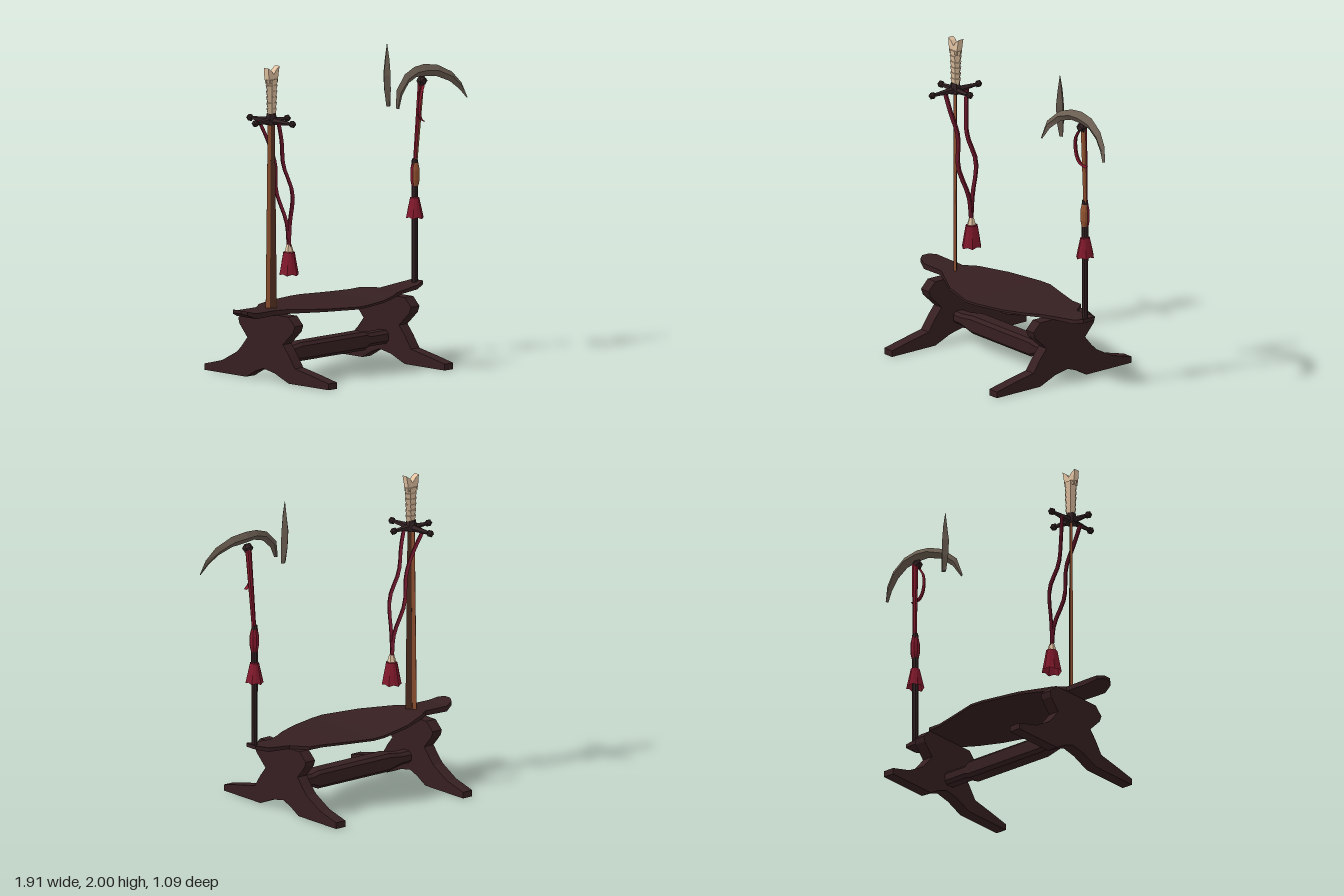
import * as THREE from 'three';

const mat = (name, color, side = THREE.FrontSide) => {
  const m = new THREE.MeshStandardMaterial({ color, side });
  m.name = name;
  return m;
};

// Flat facets: unshared vertices with one normal per face
function facet(geo) {
  const g = geo.index ? geo.toNonIndexed() : geo;
  g.computeVertexNormals();
  return g;
}

// Skin a list of equal-sized rings of [x, y, z], closing both ends
function loft(rings) {
  const n = rings[0].length, idx = [], last = (rings.length - 1) * n;
  for (let i = 0; i < rings.length - 1; i++) {
    for (let j = 0; j < n; j++) {
      const a = i * n + j, b = i * n + (j + 1) % n;
      idx.push(a, b, b + n, a, b + n, a + n);
    }
  }
  for (let j = 1; j < n - 1; j++) {
    idx.push(0, j + 1, j, last, last + j, last + j + 1);
  }
  const g = new THREE.BufferGeometry();
  g.setAttribute('position', new THREE.Float32BufferAttribute(rings.flat(2), 3));
  g.setIndex(idx);
  return facet(g);
}

// Extruded outline, centred on its depth
function plate(points, depth) {
  const shape = new THREE.Shape(points.map(([x, y]) => new THREE.Vector2(x, y)));
  return new THREE.ExtrudeGeometry(shape, { depth, bevelEnabled: false }).translate(0, 0, -depth / 2);
}

export function createModel() {
  const wood = mat('dark wood', 0x361f21);
  const iron = mat('dark iron', 0x322123);
  const steel = mat('weathered steel', 0x6a5d51);
  const bone = mat('bone', 0xe2c3a2);
  const red = mat('red cloth', 0x82192c, THREE.DoubleSide);
  const cord = mat('dark red cord', 0x6c172a, THREE.DoubleSide);
  const amber = mat('amber wood', 0x955432);
  const brown = mat('brown blade', 0x4c2b20);

  const model = new THREE.Group();
  const add = (name, geo, material, parent = model) => {
    const m = new THREE.Mesh(geo, material);
    m.name = name;
    parent.add(m);
    return m;
  };
  const group = (name, x = 0, y = 0, z = 0) => {
    const g = new THREE.Group();
    g.name = name;
    g.position.set(x, y, z);
    model.add(g);
    return g;
  };

  // Trestle legs: splayed feet, narrow waist, wide head
  const legOutline = [
    [0.54, 0], [0.54, 0.04], [0.4, 0.07], [0.245, 0.1], [0.19, 0.18], [0.14, 0.24],
    [0.23, 0.325], [0.245, 0.365], [0.19, 0.42], [-0.19, 0.42], [-0.25, 0.365], [-0.24, 0.33],
    [-0.17, 0.25], [-0.22, 0.19], [-0.26, 0.15], [-0.39, 0.08], [-0.545, 0.04], [-0.545, 0],
    [-0.18, 0], [-0.1, 0.045], [-0.03, 0.07], [0.07, 0.05], [0.19, 0],
  ].map(([z, y]) => [-z, y]);
  for (const [name, x] of [['rightLeg', -0.662], ['leftLeg', 0.368]]) {
    const leg = add(name, plate(legOutline, 0.075), wood);
    leg.rotation.y = Math.PI / 2;
    leg.position.x = x;
  }

  // Stretcher: chamfered beam, thicker in the middle
  const beam = (x, h, d) => {
    const c = 0.02;
    return [[h - c, d], [c - h, d], [-h, d - c], [-h, c - d], [c - h, -d], [h - c, -d], [h, c - d], [h, d - c]]
      .map(([y, z]) => [x, 0.152 + y, z]);
  };
  add('stretcher', loft([
    beam(-0.64, 0.038, 0.045), beam(-0.55, 0.04, 0.048), beam(-0.44, 0.058, 0.06),
    beam(0.13, 0.058, 0.06), beam(0.17, 0.042, 0.048), beam(0.35, 0.042, 0.048),
  ]), wood);

  // Seat board: [x, back z, front z, bottom y, top y]
  add('board', loft([
    [-0.955, -0.025, 0.025, 0.452, 0.472], [-0.93, -0.07, 0.06, 0.44, 0.465],
    [-0.87, -0.095, 0.08, 0.415, 0.45], [-0.7, -0.09, 0.085, 0.42, 0.45],
    [-0.62, -0.15, 0.13, 0.425, 0.452], [-0.43, -0.24, 0.235, 0.425, 0.443],
    [-0.19, -0.3, 0.3, 0.42, 0.435], [-0.1, -0.305, 0.29, 0.42, 0.434],
    [0.09, -0.25, 0.24, 0.42, 0.434], [0.24, -0.205, 0.175, 0.42, 0.437],
    [0.33, -0.2, 0.12, 0.42, 0.44], [0.41, -0.1, 0.085, 0.42, 0.44],
    [0.57, -0.09, 0.065, 0.428, 0.455], [0.645, -0.05, 0.04, 0.448, 0.472],
  ].map(([x, b, f, lo, hi]) => [[x, hi, b], [x, hi, f], [x, lo, f], [x, lo, b]])), wood);

  // Sword standing in the board, its flat turned diagonally
  const sword = group('sword', -0.66, 0, 0);
  const blade = new THREE.Group();
  blade.name = 'blade';
  blade.rotation.y = -Math.PI / 4;
  sword.add(blade);
  add('bladeCore', plate([[-0.035, 0.43], [0.035, 0.43], [0.022, 1.62], [-0.022, 1.62]], 0.016), amber, blade);
  add('bladeFlats', plate([[-0.008, 0.43], [0.034, 0.43], [0.021, 1.62], [-0.002, 1.62]], 0.019), brown, blade);

  // Four-armed guard with knobbed ends
  add('guardHub', facet(new THREE.CylinderGeometry(0.03, 0.04, 0.07, 6).translate(0, 1.645, 0)), iron, sword);
  for (let i = 0; i < 4; i++) {
    const arm = new THREE.Group();
    arm.name = 'guardArm';
    arm.position.y = 1.632;
    arm.rotation.y = i * Math.PI / 2;
    sword.add(arm);
    const len = i % 2 ? 0.185 : 0.14;
    const rod = new THREE.CylinderGeometry(0.01, 0.024, len, 5).rotateZ(-Math.PI / 2);
    add('armRod', facet(rod.translate(len / 2, 0, 0)), iron, arm);
    add('armKnob', facet(new THREE.IcosahedronGeometry(0.025, 0).translate(len, 0, 0)), iron, arm);
  }

  // Bone grip: stacked flattened segments with ragged edges and a forked pommel
  const grip = new THREE.Group();
  grip.name = 'grip';
  sword.add(grip);
  for (let i = 0; i < 6; i++) {
    const r = 0.035 + i * 0.0015;
    const seg = new THREE.CylinderGeometry(r + 0.005, r - 0.007, 0.042, 6).rotateY(Math.PI / 6);
    add('gripSegment', facet(seg.scale(1.05, 1, 0.72).translate(0.003, 1.69 + i * 0.037, 0)), bone, grip);
  }
  add('pommel', plate([
    [-0.034, 1.87], [0.036, 1.87], [0.043, 1.92], [0.054, 1.975], [0.026, 1.955],
    [0.004, 1.925], [-0.022, 1.955], [-0.046, 1.97], [-0.042, 1.92],
  ], 0.04), bone, grip);

  // Cloth tassel: flared skirt with an uneven pleated hem
  function tassel(name, x, y, top, bottom, h) {
    const g = group(name, x, y, 0);
    const skirt = new THREE.CylinderGeometry(top, bottom, h, 12, 2, true);
    const p = skirt.attributes.position;
    for (let i = 0; i < p.count; i++) {
      const t = 0.5 - p.getY(i) / h;
      const k = i % 13 % 2;
      const s = 1 - 0.1 * t * k;
      p.setXYZ(i, p.getX(i) * s, p.getY(i) + 0.01 * k * t, p.getZ(i) * s * 1.15);
    }
    add('skirt', facet(skirt.translate(0, h / 2, 0)), red, g);
    add('crown', facet(new THREE.ConeGeometry(top, 0.02, 8).translate(0, h + 0.01, 0)), red, g);
    return g;
  }
  const swordTassel = tassel('swordTassel', -0.502, 0.64, 0.034, 0.06, 0.145);
  add('tie', facet(new THREE.CylinderGeometry(0.016, 0.03, 0.05, 6).translate(0, 0.168, 0)), bone, swordTassel);
  tassel('poleTassel', 0.612, 0.865, 0.027, 0.055, 0.13);

  // Flat hanging ribbons, half as thick in x as they are wide in z
  const ribbon = (name, pts, w, material) => {
    const curve = new THREE.CatmullRomCurve3(pts.map((p) => new THREE.Vector3(...p)));
    add(name, loft(curve.getPoints(16).map(({ x, y, z }) => [
      [x + w * 0.55, y, z], [x, y, z + w], [x - w * 0.55, y, z], [x, y, z - w],
    ])), material);
  };
  for (const [name, side, zTop] of [['frontCord', 1, 0.075], ['backCord', -1, 0.1]]) {
    ribbon(name, [[-0.67, 1.625, side * zTop], [-0.63, 1.5, side * 0.062], [-0.59, 1.35, side * 0.036],
      [-0.545, 1.17, side * 0.072], [-0.51, 0.97, side * 0.014], [-0.505, 0.82, 0]], 0.018, cord);
  }

  // Pick pole: dark shaft, swelling grip and upper handle
  const pick = group('pick');
  const shaft = (name, y0, y1, r0, r1) =>
    add(name, facet(new THREE.CylinderGeometry(r1, r0, y1 - y0, 8).translate(0.612, (y0 + y1) / 2, 0)), iron, pick);
  shaft('lowerShaft', 0.44, 1.075, 0.019, 0.021);
  shaft('band', 1.2, 1.24, 0.022, 0.018);

  // Two-tone parts: amber wood facing front, red cloth around the rest
  const twoTone = (name, start, sweep, build) => {
    add(name + 'Wood', facet(build(start, sweep)), amber, pick);
    add(name + 'Cloth', facet(build(start + sweep, Math.PI * 2 - sweep)), red, pick);
  };
  const swell = [[0.022, 1.07], [0.03, 1.11], [0.03, 1.17], [0.021, 1.215]].map((p) => new THREE.Vector2(...p));
  twoTone('swell', -1.2, 2.6, (from, sweep) =>
    new THREE.LatheGeometry(swell, 5, from, sweep).translate(0.613, 0, 0));
  twoTone('handle', -0.45, 1.9, (from, sweep) => {
    const handle = new THREE.CylinderGeometry(0.02, 0.014, 0.5, 5, 1, true, from, sweep);
    const p = handle.attributes.position;
    for (let i = 0; i < p.count; i++) {
      const t = p.getY(i) / 0.5 + 0.5;
      p.setXYZ(i, p.getX(i) + 0.617 + 0.02 * t, 1.23 + 0.5 * t, p.getZ(i) + 0.03 * t);
    }
    return handle;
  });
  add('collar', facet(new THREE.IcosahedronGeometry(0.036, 0).translate(0.632, 1.735, 0.042)), iron, pick);
  ribbon('strap', [[0.625, 1.71, 0.06], [0.6, 1.66, 0.065], [0.595, 1.55, 0.055],
    [0.62, 1.495, 0.045], [0.66, 1.475, 0.03]], 0.015, red);

  // Crescent head: [outer x, y, inner x, y, z, half thickness]
  add('crescent', loft([
    [0.325, 1.605, 0.345, 1.6, 0.122, 0.004], [0.355, 1.715, 0.395, 1.68, 0.1, 0.014],
    [0.45, 1.8, 0.475, 1.745, 0.078, 0.021], [0.55, 1.833, 0.56, 1.77, 0.062, 0.026],
    [0.64, 1.84, 0.64, 1.765, 0.055, 0.028], [0.75, 1.825, 0.735, 1.755, 0.064, 0.026],
    [0.86, 1.77, 0.83, 1.715, 0.085, 0.021], [0.925, 1.695, 0.895, 1.66, 0.105, 0.013],
    [0.955, 1.605, 0.942, 1.6, 0.125, 0.004],
  ].map(([ox, oy, ix, iy, z, d]) => {
    const mx = (ox + ix) / 2, my = (oy + iy) / 2;
    return [[ox, oy, z - 0.005], [mx, my, z + d], [ix, iy, z + 0.005], [mx, my, z - d]];
  })), steel, pick);

  // Loose spike beside the head: [y, left x, right x, half z]
  add('spike', loft([
    [1.6, 0.36, 0.396, 0.014], [1.7, 0.343, 0.397, 0.029], [1.8, 0.337, 0.394, 0.032],
    [1.9, 0.352, 0.382, 0.02], [1.995, 0.365, 0.367, 0.002],
  ].map(([y, l, r, d]) => {
    const m = (l + r) / 2;
    return [[l, y, 0], [m, y, d], [r, y, 0], [m, y, -d]];
  })), steel, pick);

  return model;
}
